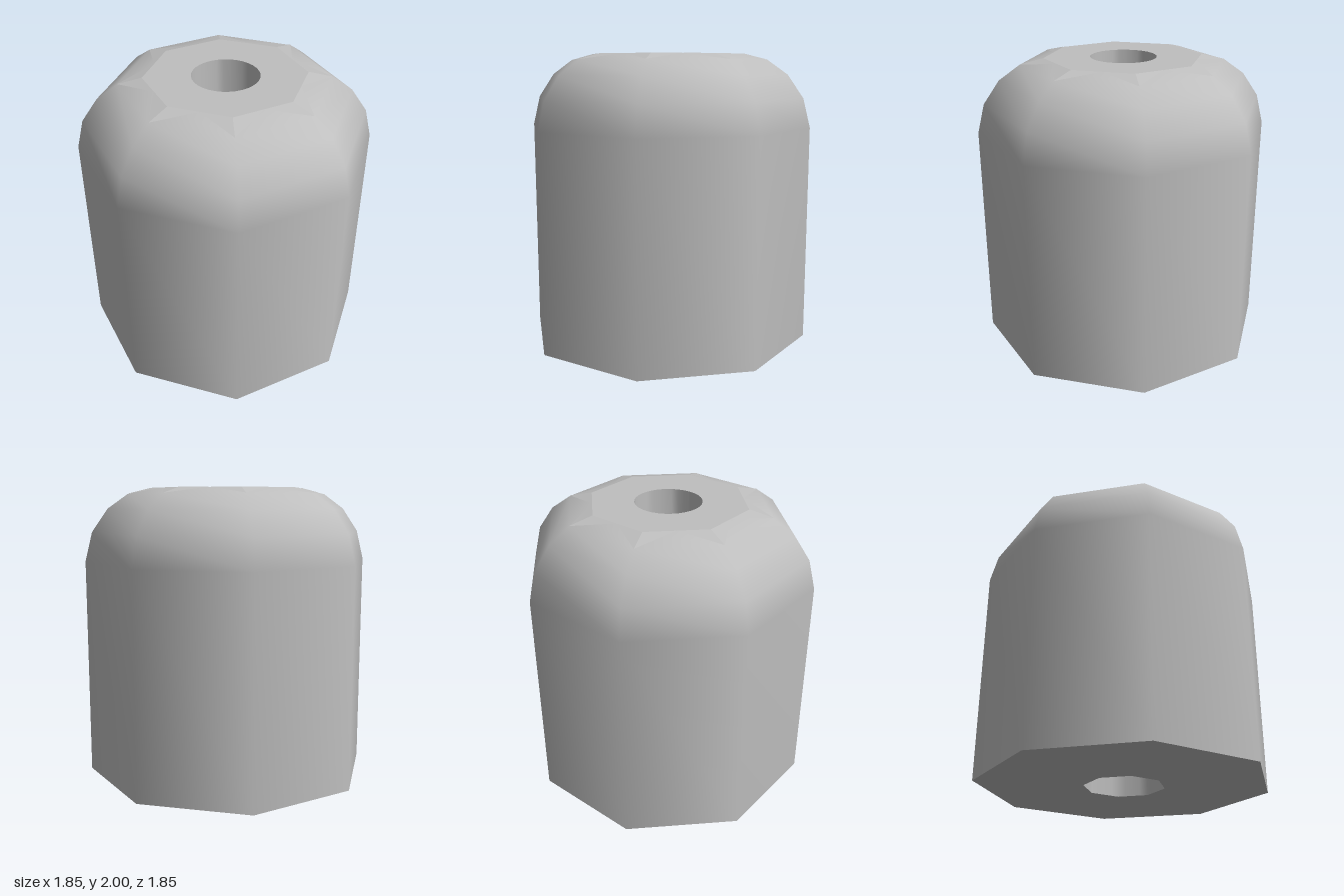
import * as THREE from 'three';

const SIDES = 8;
const STEP = (Math.PI * 2) / SIDES;
const HOLE_TOP = 0.225;
const HOLE_BOTTOM = 0.276;

// Closed ring of points around the axis, as a path for flat faces
function ring(radius, count, start) {
  return Array.from({ length: count }, (_, i) => {
    const a = start + (i * Math.PI * 2) / count;
    return new THREE.Vector2(radius * Math.cos(a), radius * Math.sin(a));
  });
}

// Flat horizontal face with a hole, facing up or down
function holedFace(outer, hole, y, up) {
  const shape = new THREE.Shape(outer);
  shape.holes.push(new THREE.Path(hole));
  const geometry = new THREE.ShapeGeometry(shape);
  geometry.rotateX(up ? -Math.PI / 2 : Math.PI / 2);
  geometry.translate(0, y, 0);
  return geometry;
}

export function createModel() {
  const model = new THREE.Group();
  const grey = new THREE.MeshStandardMaterial({ color: 0xbfbfbf });
  grey.name = 'grey';

  const add = (name, geometry) => {
    const mesh = new THREE.Mesh(geometry, grey);
    mesh.name = name;
    model.add(mesh);
  };

  // Eight-sided smooth shell with a rounded shoulder
  const profile = [
    [1, 0], [1, 1.5], [0.95, 1.7], [0.84, 1.86], [0.7, 1.96], [0.54, 2],
  ].map(([r, y]) => new THREE.Vector2(r, y));
  add('shell', new THREE.LatheGeometry(profile, SIDES, STEP / 2));

  // Flat top and base
  add('topFace', holedFace(ring(0.54, SIDES, STEP / 2), ring(HOLE_TOP, 32, 0), 2, true));
  add('baseFace', holedFace(ring(1, SIDES, STEP / 2), ring(HOLE_BOTTOM, SIDES, STEP / 2), 0, false));

  // Bore that changes from a round mouth to an octagonal outlet
  const bore = new THREE.LatheGeometry(
    [new THREE.Vector2(HOLE_TOP, 2), new THREE.Vector2(HOLE_BOTTOM, 0)], 32);
  const pos = bore.attributes.position;
  for (let i = 0; i < pos.count; i++) {
    if (pos.getY(i) > 1) continue;
    const a = Math.atan2(pos.getX(i), pos.getZ(i));
    const offset = a - Math.round(a / STEP) * STEP;
    const k = Math.cos(STEP / 2) / Math.cos(offset);
    pos.setX(i, pos.getX(i) * k);
    pos.setZ(i, pos.getZ(i) * k);
  }
  bore.computeVertexNormals();
  add('bore', bore);

  // Flat facets pointing outward from each corner of the top face
  const points = [];
  const put = (r, y, a) => points.push(r * Math.sin(a), y + 0.002, r * Math.cos(a));
  const mid = 0.54 * Math.cos(STEP / 2);
  for (let i = 0; i < SIDES; i++) {
    const a = (i + 0.5) * STEP;
    put(0.54, 2, a);
    put(mid, 2, a - STEP / 2);
    put(0.7, 1.96, a);
    put(0.54, 2, a);
    put(0.7, 1.96, a);
    put(mid, 2, a + STEP / 2);
  }
  const facets = new THREE.BufferGeometry();
  facets.setAttribute('position', new THREE.Float32BufferAttribute(points, 3));
  facets.computeVertexNormals();
  add('cornerFacets', facets);

  return model;
}
